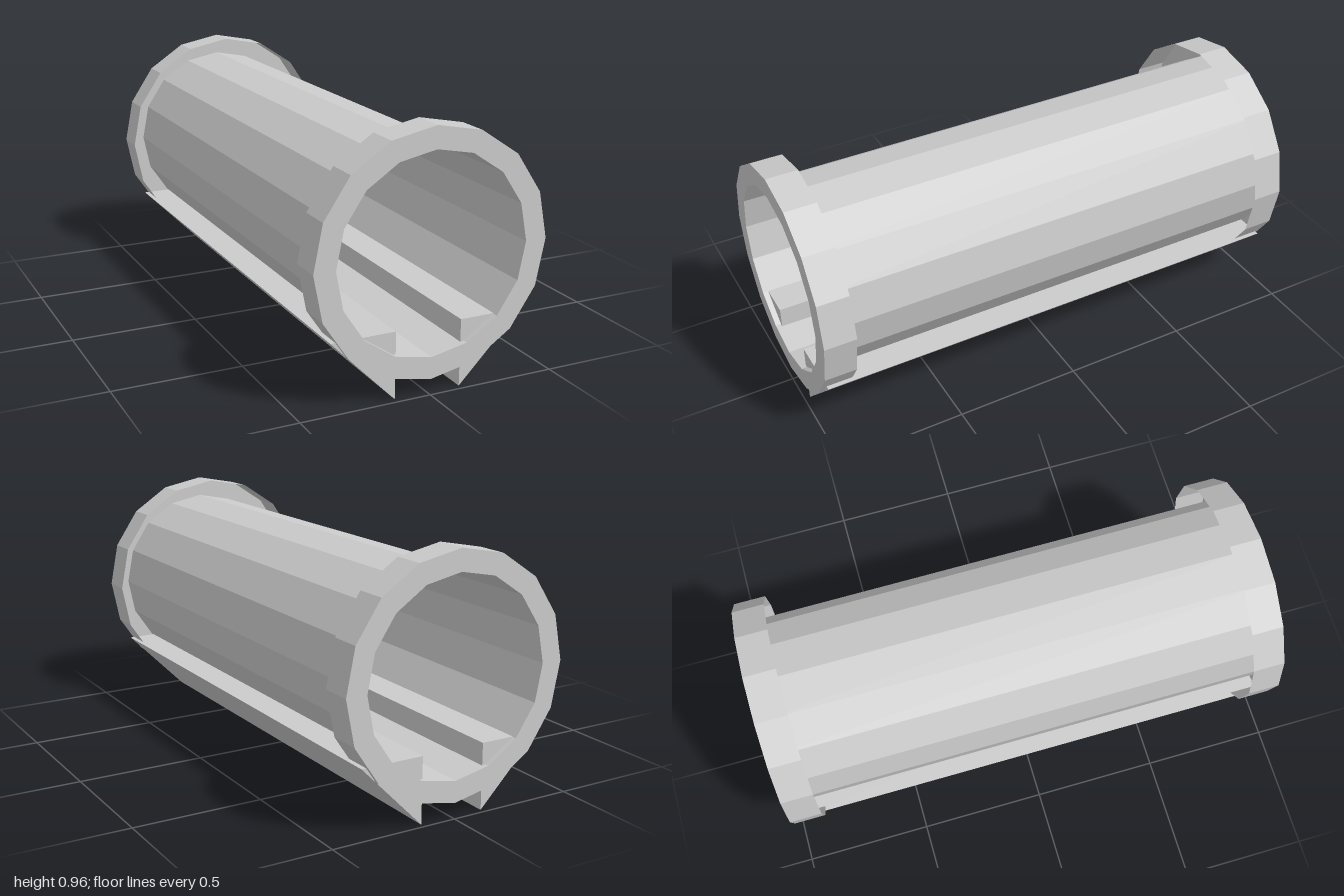
import * as THREE from 'three';

const SIDES = 16, CENTRE_Y = 0.512, R_IN = 0.37, R_OUT = 0.452;

export function createModel() {
  const group = new THREE.Group();
  const material = new THREE.MeshStandardMaterial({
    color: 0xcccccc, flatShading: true, side: THREE.DoubleSide,
  });

  // Revolve [radius, z] points around the horizontal pipe axis
  const revolve = (name, points) => {
    const geometry = new THREE.LatheGeometry(points.map(([r, z]) => new THREE.Vector2(r, z)), SIDES);
    geometry.rotateX(Math.PI / 2);
    const mesh = new THREE.Mesh(geometry, material);
    mesh.name = name;
    mesh.position.y = CENTRE_Y;
    group.add(mesh);
  };

  // Thin open pipe
  revolve('pipe', [[R_IN, -1], [R_IN, 1]]);

  // End collars: an outer wall and an end ring, open towards the middle
  revolve('frontCollar', [[R_OUT, 0.875], [R_OUT, 1], [R_IN, 1]]);
  revolve('backCollar', [[R_IN, -1], [R_OUT, -1], [R_OUT, -0.875]]);

  // Triangular support rails under both sides
  for (const [name, s] of [['leftRail', 1], ['rightRail', -1]]) {
    const shape = new THREE.Shape([
      new THREE.Vector2(s * 0.129, 0),
      new THREE.Vector2(s * 0.378, 0.252),
      new THREE.Vector2(s * 0.129, 0.252),
    ]);
    const geometry = new THREE.ExtrudeGeometry(shape, { depth: 1.96, bevelEnabled: false });
    geometry.translate(0, 0, -0.982);
    const rail = new THREE.Mesh(geometry, material);
    rail.name = name;
    group.add(rail);
  }
  return group;
}
